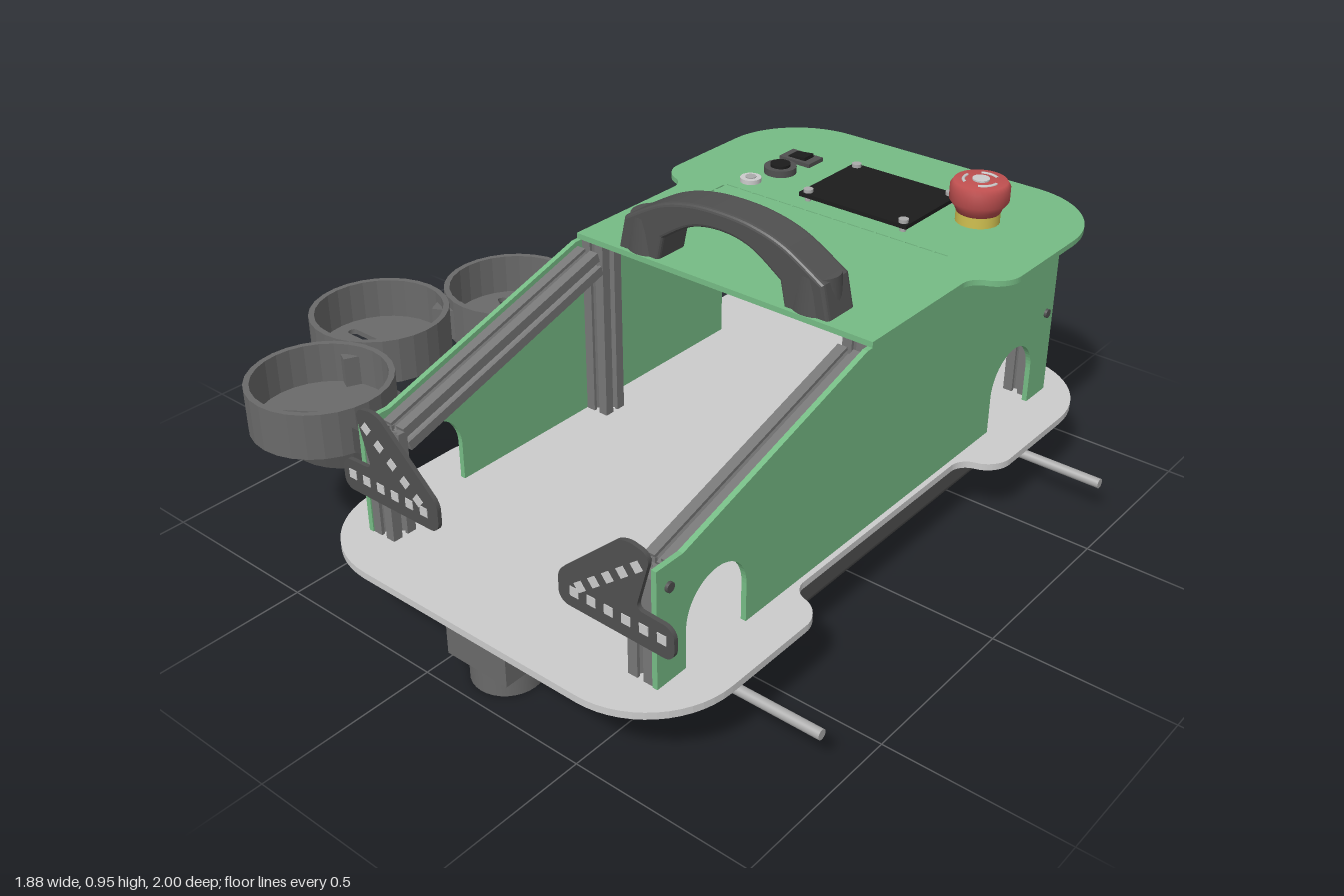
import * as THREE from 'three';

const mat = (c) => new THREE.MeshStandardMaterial({ color: c, side: THREE.DoubleSide });

export function createModel() {
  const green = mat(0x76bc85), grey = mat(0xcccccc), dark = mat(0x505050), rail = mat(0x777777);
  const cupGrey = mat(0x6a6a6a), black = mat(0x1c1c1c), red = mat(0xc05050), yellow = mat(0xd0c050), steel = mat(0xaaaaaa);
  const root = new THREE.Group();
  const body = new THREE.Group(); // chassis is offset because the cups hang off one side
  body.name = 'chassis';
  body.position.x = 0.15;
  root.add(body);

  const add = (name, geo, m, x = 0, y = 0, z = 0) => {
    const mesh = new THREE.Mesh(geo, m);
    mesh.name = name;
    mesh.position.set(x, y, z);
    body.add(mesh);
    return mesh;
  };
  const box = (name, m, w, h, d, x, y, z) => add(name, new THREE.BoxGeometry(w, h, d), m, x, y, z);
  const cyl = (name, m, r, h, x, y, z, axis = 'y', r2 = r) => {
    const g = new THREE.CylinderGeometry(r, r2, h, 32);
    if (axis === 'x') g.rotateZ(-Math.PI / 2);
    if (axis === 'z') g.rotateX(Math.PI / 2);
    return add(name, g, m, x, y, z);
  };
  // Polygon with rounded corners, points are [x, y, radius]
  const rounded = (pts) => {
    const s = new THREE.Shape(), n = pts.length;
    pts.forEach(([x, y, r = 0], i) => {
      const p = new THREE.Vector2(x, y);
      const toward = (q, d) => p.clone().add(new THREE.Vector2(q[0], q[1]).sub(p).setLength(d));
      const a = toward(pts[(i + n - 1) % n], r), b = toward(pts[(i + 1) % n], r);
      if (i === 0) s.moveTo(a.x, a.y); else s.lineTo(a.x, a.y);
      const c = a.clone().lerp(p, 0.55), d = b.clone().lerp(p, 0.55);
      if (r) s.bezierCurveTo(c.x, c.y, d.x, d.y, b.x, b.y);
    });
    s.closePath();
    return s;
  };
  const rect = (x0, x1, y0, y1, r = 0) => rounded([[x0, y0, r], [x1, y0, r], [x1, y1, r], [x0, y1, r]]);
  const circle = (x, y, r) => new THREE.Path().absarc(x, y, r, 0, Math.PI * 2);
  const extrude = (shape, depth) => new THREE.ExtrudeGeometry(shape, { depth, bevelEnabled: false, curveSegments: 14 });
  const slab = (shape, h) => extrude(shape, h).rotateX(-Math.PI / 2); // shape is (x, -z)
  const panel = (shape, w) => extrude(shape, w).rotateY(Math.PI / 2); // shape is (-z, y)

  // Base plate with a narrower waist
  const base = [[-0.605, -1, 0.25], [0.605, -1, 0.25], [0.605, -0.41, 0.06], [0.5, -0.38, 0.04],
    [0.5, 0.38, 0.04], [0.605, 0.41, 0.06], [0.605, 1, 0.25], [-0.605, 1, 0.25],
    [-0.605, 0.41, 0.06], [-0.5, 0.38, 0.04], [-0.5, -0.38, 0.04], [-0.605, -0.41, 0.06]];
  add('basePlate', slab(rounded(base), 0.02), grey, 0, 0.185);

  // Top panel with thin slits
  const top = rounded([[-0.485, -0.07], [0.485, -0.07], [0.485, 0.38, 0.04], [0.58, 0.41, 0.06],
    [0.58, 1, 0.25], [-0.58, 1, 0.25], [-0.58, 0.41, 0.06], [-0.485, 0.38, 0.04]]);
  for (let i = 0; i < 16; i++) top.holes.push(rect(-0.375 + i * 0.047, -0.335 + i * 0.047, 0.448, 0.453));
  for (let i = 0; i < 4; i++) top.holes.push(rect(-0.383, -0.378, 0.27 + i * 0.045, 0.308 + i * 0.045));
  add('topPanel', slab(top, 0.016), green, 0, 0.738);

  // Slotted rail cross-section
  const h = 0.037, prof = [];
  for (let k = 0; k < 4; k++) {
    const c = Math.round(Math.cos(k * Math.PI / 2)), s = Math.round(Math.sin(k * Math.PI / 2));
    for (const [x, y] of [[-h, -h], [-0.009, -h], [-0.009, -0.028], [-0.018, -0.028], [-0.01, -0.015],
      [0.01, -0.015], [0.018, -0.028], [0.009, -0.028], [0.009, -h]])
      prof.push([x * c - y * s, x * s + y * c]);
  }
  const railShape = rounded(prof);
  railShape.holes.push(circle(0, 0, 0.007));

  // Side panel with wheel arches
  const side = new THREE.Shape();
  side.moveTo(-0.87, 0.205);
  side.lineTo(-0.77, 0.205);
  for (const z of [-0.66, 0.66]) {
    side.lineTo(z - 0.11, 0.205);
    side.lineTo(z - 0.11, 0.315);
    side.absarc(z, 0.315, 0.11, Math.PI, 0, true);
    side.lineTo(z + 0.11, 0.205);
  }
  [[0.87, 0.205], [0.87, 0.738], [-0.09, 0.738], [-0.78, 0.53], [-0.87, 0.53]].forEach(([x, y]) => side.lineTo(x, y));
  side.closePath();

  for (const s of [-1, 1]) {
    add('sidePanel', panel(side, 0.015), green, s * 0.4775 - 0.0075);
    for (const z of [-0.83, 0.83]) cyl('panelScrew', dark, 0.013, 0.012, s * 0.487, 0.47, z, 'x');
    // Posts and sloping rail
    for (const [z, y1] of [[-0.83, 0.738], [0.03, 0.738], [0.83, 0.5]])
      add('post', slab(railShape, y1 - 0.205), rail, s * 0.432, 0.205, z);
    const beam = add('slopingRail', extrude(railShape, 0.75), rail, s * 0.432, 0.69, 0.075);
    beam.rotation.x = Math.atan2(0.208, 0.69);

    // Angled front bracket with square studs
    add('frontBracket', extrude(rounded([[0.48, 0.575, 0.03], [0.4, 0.59, 0.03], [0.2, 0.41, 0.02], [0.2, 0.325, 0.03],
      [0.545, 0.32, 0.03], [0.545, 0.41, 0.03], [0.435, 0.415, 0.02]].map(([x, y, r]) => [s * x, y, r])), 0.012), dark, 0, 0, 0.87);
    for (let i = 0; i < 6; i++) box('bracketStud', grey, 0.026, 0.026, 0.016, s * (0.51 - i * 0.052), 0.37, 0.876);
    for (let i = 0; i < 5; i++) {
      const stud = box('bracketStud', grey, 0.026, 0.026, 0.016, s * (0.44 - i * 0.043), 0.53 - i * 0.034, 0.876);
      stud.rotation.z = s * 0.67;
    }

    // Square rear bracket with ears and bolt holes
    const plate = rect(s * 0.335 - 0.11, s * 0.335 + 0.11, 0.33, 0.55, 0.025);
    for (let i = 0; i < 8; i++) {
      const a = i * Math.PI / 4, r = i % 2 ? 0.1 : 0.07;
      plate.holes.push(circle(s * 0.335 + r * Math.cos(a), 0.44 + r * Math.sin(a), 0.013));
    }
    add('rearBracket', extrude(plate, 0.014), dark, 0, 0, -0.885);
    for (const i of [-1, 1]) for (const j of [-1, 1])
      cyl('rearBracketEar', dark, 0.027, 0.02, s * 0.335 + i * 0.1, 0.44 + j * 0.103, -0.878, 'z');

    // Drive motors, mounts and axles at both ends
    for (const z of [-0.66, 0.66]) {
      cyl('motor', steel, 0.058, 0.17, s * 0.35, 0.105, z, 'x');
      cyl('motorGearbox', steel, 0.05, 0.18, s * 0.18, 0.105, z, 'x');
      cyl('motorCollar', dark, 0.053, 0.012, s * 0.265, 0.105, z, 'x');
      const mount = new THREE.Shape();
      mount.moveTo(-0.078, 0.185);
      mount.lineTo(-0.078, 0.11);
      mount.absarc(0, 0.11, 0.078, Math.PI, Math.PI * 2, false);
      mount.lineTo(0.078, 0.185);
      for (let i = 0; i < 8; i++)
        mount.holes.push(circle(0.045 * Math.cos(i * Math.PI / 4), 0.105 + 0.045 * Math.sin(i * Math.PI / 4), 0.008));
      add('motorMount', panel(mount, 0.014), steel, s * 0.45 - 0.007, 0, z);
      box('motorMountFoot', steel, 0.06, 0.014, 0.156, s * 0.46, 0.179, z);
      cyl('axle', steel, 0.014, 0.36, s * 0.61, 0.105, z, 'x');
      cyl('axleHub', steel, 0.03, 0.03, s * 0.455, 0.105, z, 'x');
    }
  }

  // Battery box with bevelled lower edges
  add('batteryBox', extrude(rounded([[-0.495, 0.185], [-0.495, 0.125, 0.01], [-0.43, 0.052, 0.02],
    [0.43, 0.052, 0.02], [0.495, 0.125, 0.01], [0.495, 0.185]]), 1.1), dark, 0, 0, -0.55);

  // Ball casters
  for (const z of [-0.87, 0.87]) {
    box('casterBlock', cupGrey, 0.2, 0.117, 0.2, 0, 0.127, z);
    cyl('casterCup', cupGrey, 0.093, 0.07, 0, 0.035, z);
  }

  // Carry handle
  const grip = new THREE.Shape();
  const v = (a) => a.map(([x, y]) => new THREE.Vector2(x, y));
  grip.moveTo(-0.335, 0.755);
  grip.lineTo(-0.315, 0.84);
  grip.splineThru(v([[-0.2, 0.905], [-0.1, 0.933], [0, 0.94], [0.1, 0.933], [0.2, 0.905], [0.315, 0.84]]));
  grip.lineTo(0.335, 0.755);
  grip.lineTo(0.215, 0.755);
  grip.lineTo(0.2, 0.825);
  grip.splineThru(v([[0.1, 0.887], [0, 0.905], [-0.1, 0.887], [-0.2, 0.825]]));
  grip.lineTo(-0.215, 0.755);
  add('handleGrip', new THREE.ExtrudeGeometry(grip, { depth: 0.09, bevelSize: 0.01, bevelThickness: 0.012, bevelSegments: 3, curveSegments: 8 }), dark, 0, 0, -0.045);
  for (const s of [-1, 1]) cyl('handleFoot', dark, 0.058, 0.1, s * 0.272, 0.804, 0, 'y', 0.068);

  // Emergency stop button
  cyl('stopCollar', yellow, 0.062, 0.1, 0.31, 0.74, -0.7);
  add('stopButton', new THREE.LatheGeometry(v([[0, 0.78], [0.06, 0.78], [0.068, 0.8], [0.083, 0.82], [0.083, 0.86], [0.074, 0.874], [0, 0.876]]), 36), red, 0.31, 0, -0.7);
  cyl('stopCentre', grey, 0.024, 0.006, 0.31, 0.877, -0.7);
  for (let i = 0; i < 3; i++) {
    const arc = new THREE.TorusGeometry(0.048, 0.005, 6, 12, 1.2).rotateX(Math.PI / 2).rotateY(i * Math.PI * 2 / 3);
    add('stopArc', arc, grey, 0.31, 0.874, -0.7);
  }

  // Display on corner stand-offs
  box('display', black, 0.36, 0.012, 0.275, 0.03, 0.774, -0.63);
  for (const x of [-0.13, 0.19]) for (const z of [-0.75, -0.51]) {
    cyl('displayStandoff', steel, 0.009, 0.07, x, 0.745, z);
    cyl('displayScrew', steel, 0.014, 0.01, x, 0.785, z);
  }

  // Rocker switch, socket and push button
  box('switchFrame', dark, 0.11, 0.012, 0.07, -0.32, 0.76, -0.735);
  box('switchRocker', black, 0.06, 0.016, 0.045, -0.32, 0.765, -0.735).rotation.z = 0.12;
  box('switchBody', black, 0.08, 0.08, 0.055, -0.32, 0.7, -0.735);
  cyl('socketRim', dark, 0.048, 0.02, -0.315, 0.764, -0.625);
  cyl('socketCap', black, 0.03, 0.012, -0.315, 0.776, -0.625);
  cyl('socketBody', cupGrey, 0.042, 0.06, -0.315, 0.71, -0.625);
  cyl('socketTail', dark, 0.028, 0.08, -0.315, 0.64, -0.625);
  cyl('pushButtonRim', grey, 0.031, 0.014, -0.34, 0.76, -0.515);
  cyl('pushButton', steel, 0.016, 0.02, -0.34, 0.76, -0.515);
  cyl('pushButtonBody', steel, 0.02, 0.07, -0.34, 0.705, -0.515);

  // Three cup holders with slotted floors
  for (const [x, z, turn] of [[-0.73, 0.09, -0.52], [-0.9, 0.44, 0], [-0.73, 0.79, 0.6]]) {
    const ring = new THREE.Shape().absarc(0, 0, 0.194, 0, Math.PI * 2);
    ring.holes.push(circle(0, 0, 0.178));
    add('cupWall', slab(ring, 0.13), cupGrey, x, 0.4, z);
    const floor = new THREE.Shape().absarc(0, 0, 0.185, 0, Math.PI * 2);
    floor.holes.push(rect(-0.14, 0.14, -0.014, 0.014, 0.013));
    add('cupFloor', slab(floor, 0.015), cupGrey, x, 0.4, z).rotation.y = turn;
  }
  // Cup supports
  for (const z of [0.265, 0.615]) box('cupLink', cupGrey, 0.07, 0.09, 0.06, -0.815, 0.455, z).rotation.y = z < 0.4 ? 0.45 : -0.45;
  const cradle = new THREE.Shape().absarc(0, 0, 0.165, 0, Math.PI * 2);
  cradle.holes.push(circle(0, 0, 0.145));
  add('cupCradle', slab(cradle, 0.06), dark, -0.695, 0.34, 0.73);
  box('cupMount', dark, 0.045, 0.28, 0.08, -0.507, 0.365, 0.035);
  box('cupArm', dark, 0.06, 0.09, 0.08, -0.54, 0.455, 0.04);
  box('cupArm', dark, 0.07, 0.07, 0.07, -0.52, 0.44, 0.81);

  return root;
}
